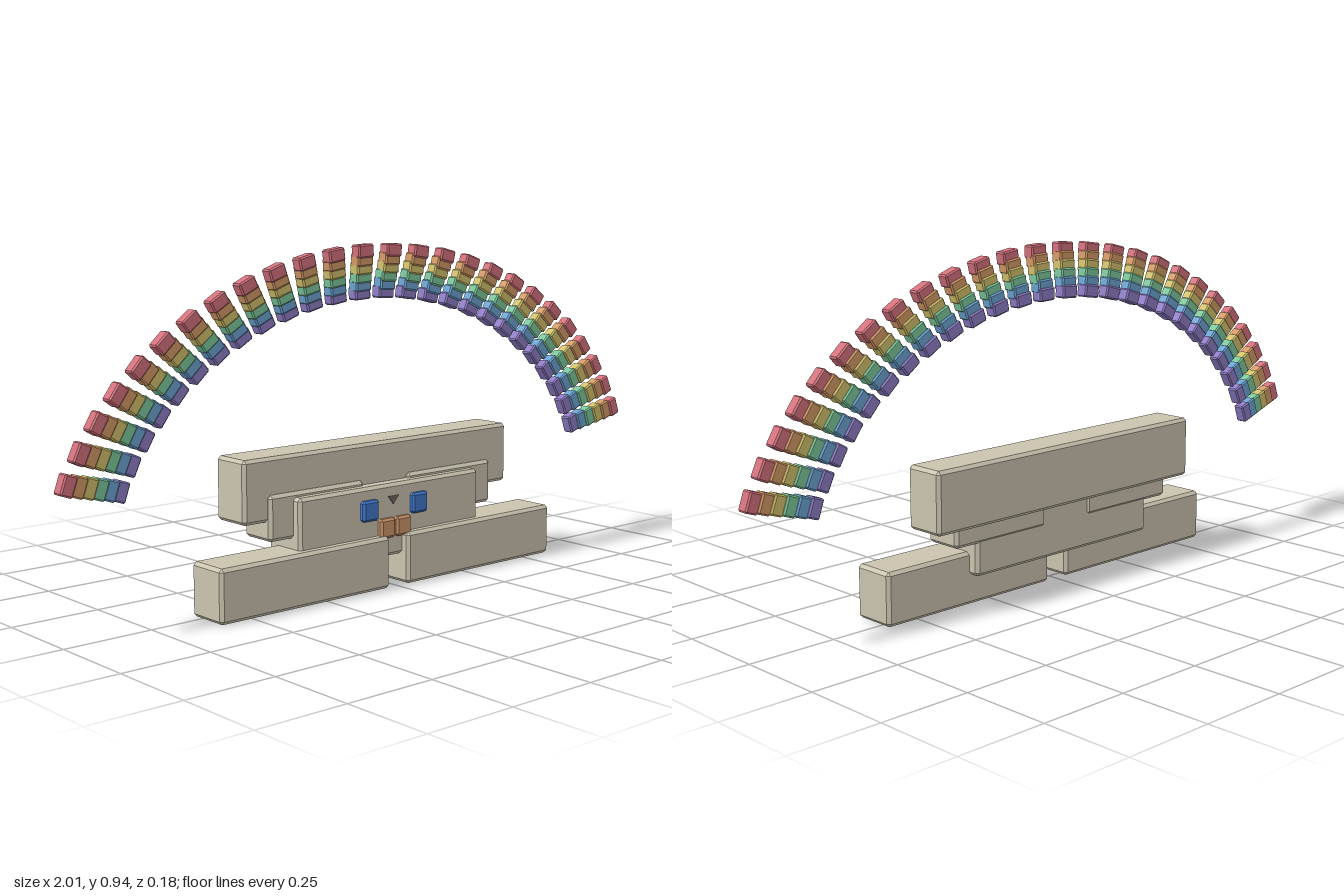
import * as THREE from 'three';
import { ConvexGeometry } from 'three/addons/geometries/ConvexGeometry.js';

const mat = (name, color) => {
  const m = new THREE.MeshStandardMaterial({ color });
  m.name = name;
  return m;
};

// Box with one flat chamfer along every edge
function chamferBox(w, h, d, c) {
  const pts = [];
  for (const x of [-1, 1]) for (const y of [-1, 1]) for (const z of [-1, 1]) {
    for (let axis = 0; axis < 3; axis++) {
      const inset = [c, c, c];
      inset[axis] = 0;
      pts.push(new THREE.Vector3(
        x * (w / 2 - inset[0]), y * (h / 2 - inset[1]), z * (d / 2 - inset[2])));
    }
  }
  return new ConvexGeometry(pts);
}

export function createModel() {
  const model = new THREE.Group();
  model.name = 'rainbowCreature';
  const stone = mat('beige', 0xcac3af);
  const eyeBlue = mat('eye blue', 0x3f78cc);
  const peach = mat('peach', 0xcc946a);
  const dark = mat('dark grey', 0x6b665c);

  // Adds a chamfered block from its min and max corners
  const block = (name, material, x0, x1, y0, y1, z0, z1, c = 0.009) => {
    const mesh = new THREE.Mesh(chamferBox(x1 - x0, y1 - y0, z1 - z0, c), material);
    mesh.position.set((x0 + x1) / 2, (y0 + y1) / 2, (z0 + z1) / 2);
    mesh.name = name;
    model.add(mesh);
  };
  // Adds a block on the left (+x) and its mirror on the right
  const pair = (name, material, x0, x1, ...rest) => {
    block(name + 'Left', material, x0, x1, ...rest);
    block(name + 'Right', material, -x1, -x0, ...rest);
  };

  // Body slabs
  block('topSlab', stone, -0.48, 0.48, 0.226, 0.397, -0.092, 0.028);
  block('headSlab', stone, -0.328, 0.328, 0.082, 0.284, -0.067, 0.066);
  pair('middleSlab', stone, 0.08, 0.405, 0.174, 0.298, -0.072, 0.039);
  pair('baseSlab', stone, 0.032, 0.602, 0, 0.145, -0.035, 0.092);

  // Face
  pair('eye', eyeBlue, 0.062, 0.119, 0.192, 0.249, 0.05, 0.081, 0.006);
  pair('muzzle', peach, 0.002, 0.056, 0.137, 0.191, 0.05, 0.081, 0.006);
  const tri = new THREE.Shape([[-0.02, 0.25], [0, 0.226], [0.02, 0.25]]
    .map(([x, y]) => new THREE.Vector2(x, y)));
  const nose = new THREE.Mesh(
    new THREE.ExtrudeGeometry(tri, { depth: 0.004, bevelEnabled: false }), dark);
  nose.position.z = 0.0645;
  nose.name = 'nose';
  model.add(nose);

  // Rainbow: six elliptical rows of blocks, each smaller and further back
  const rows = [
    ['red', 0xd4717c], ['orange', 0xd49a66], ['yellow', 0xd2c16c],
    ['green', 0x7cc89c], ['blue', 0x6ca4d2], ['purple', 0x8f7cc6],
  ];
  const brick = chamferBox(0.054, 0.036, 0.035, 0.004);
  const count = 26, step = 0.0984;
  rows.forEach(([name, color], i) => {
    const row = new THREE.Group();
    row.name = name + 'Arc';
    const material = mat(name, color);
    const rx = 1.04 - i * 0.034, ry = 0.784 - i * 0.0228;
    for (let k = 0; k < count; k++) {
      const a = (k - (count - 1) / 2) * step;
      const mesh = new THREE.Mesh(brick, material);
      mesh.position.set(rx * Math.sin(a), 0.133 + ry * Math.cos(a), -0.001 - i * 0.0047);
      mesh.rotation.z = -a;
      mesh.name = name + 'Block';
      row.add(mesh);
    }
    model.add(row);
  });
  return model;
}
